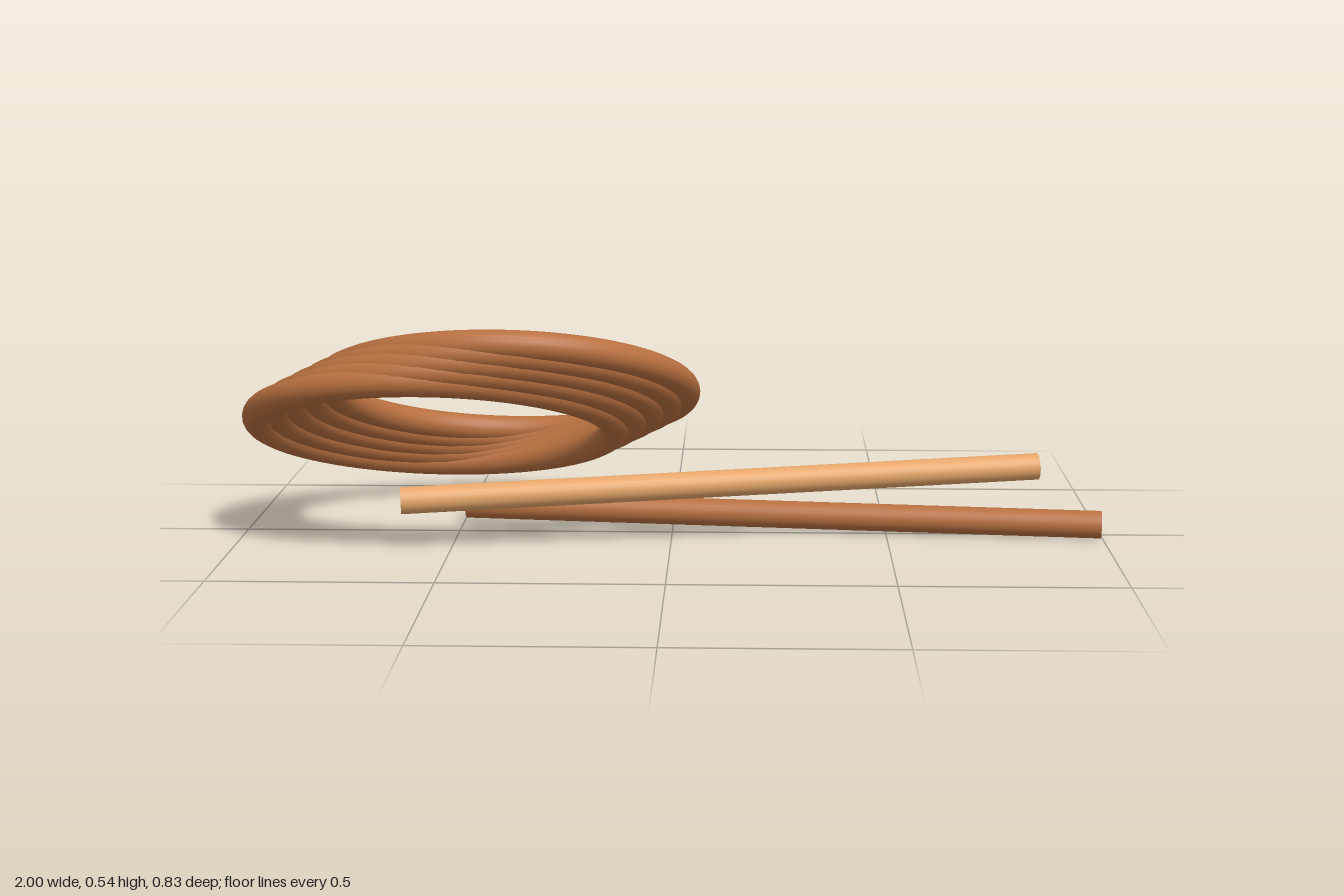
import * as THREE from 'three';

const darkWood = new THREE.MeshStandardMaterial({ color: 0xb87040 });
const lightWood = new THREE.MeshStandardMaterial({ color: 0xe6a66a });

// Straight round rod between two end centres
function rod(name, from, to, radius, material) {
  const a = new THREE.Vector3(...from);
  const b = new THREE.Vector3(...to);
  const dir = b.clone().sub(a);
  const mesh = new THREE.Mesh(new THREE.CylinderGeometry(radius, radius, dir.length(), 24), material);
  mesh.name = name;
  mesh.position.copy(a).add(b).multiplyScalar(0.5);
  mesh.quaternion.setFromUnitVectors(new THREE.Vector3(0, 1, 0), dir.normalize());
  return mesh;
}

export function createModel() {
  const model = new THREE.Group();
  model.name = 'ringsAndSticks';

  // Slanted stack of five overlapping rings, each tipped towards the back
  const rings = new THREE.Group();
  rings.name = 'ringStack';
  const count = 5;
  const tilt = Math.atan2(0.332, 0.764);
  const ringGeometry = new THREE.TorusGeometry(0.416, 0.033, 20, 96);
  ringGeometry.rotateX(Math.PI / 2 - tilt);
  for (let i = 0; i < count; i++) {
    const t = i / (count - 1);
    const ring = new THREE.Mesh(ringGeometry, darkWood);
    ring.name = `ring${i + 1}`;
    ring.position.set(
      THREE.MathUtils.lerp(-0.551, -0.384, t),
      THREE.MathUtils.lerp(0.254, 0.337, t),
      0.001
    );
    rings.add(ring);
  }
  model.add(rings);

  // Two crossed sticks
  model.add(rod('lowerStick', [-0.491, 0.045, -0.085], [0.997, 0.032, 0.033], 0.032, darkWood));
  model.add(rod('upperStick', [-0.613, 0.113, 0.19], [0.853, 0.157, -0.028], 0.031, lightWood));

  return model;
}
